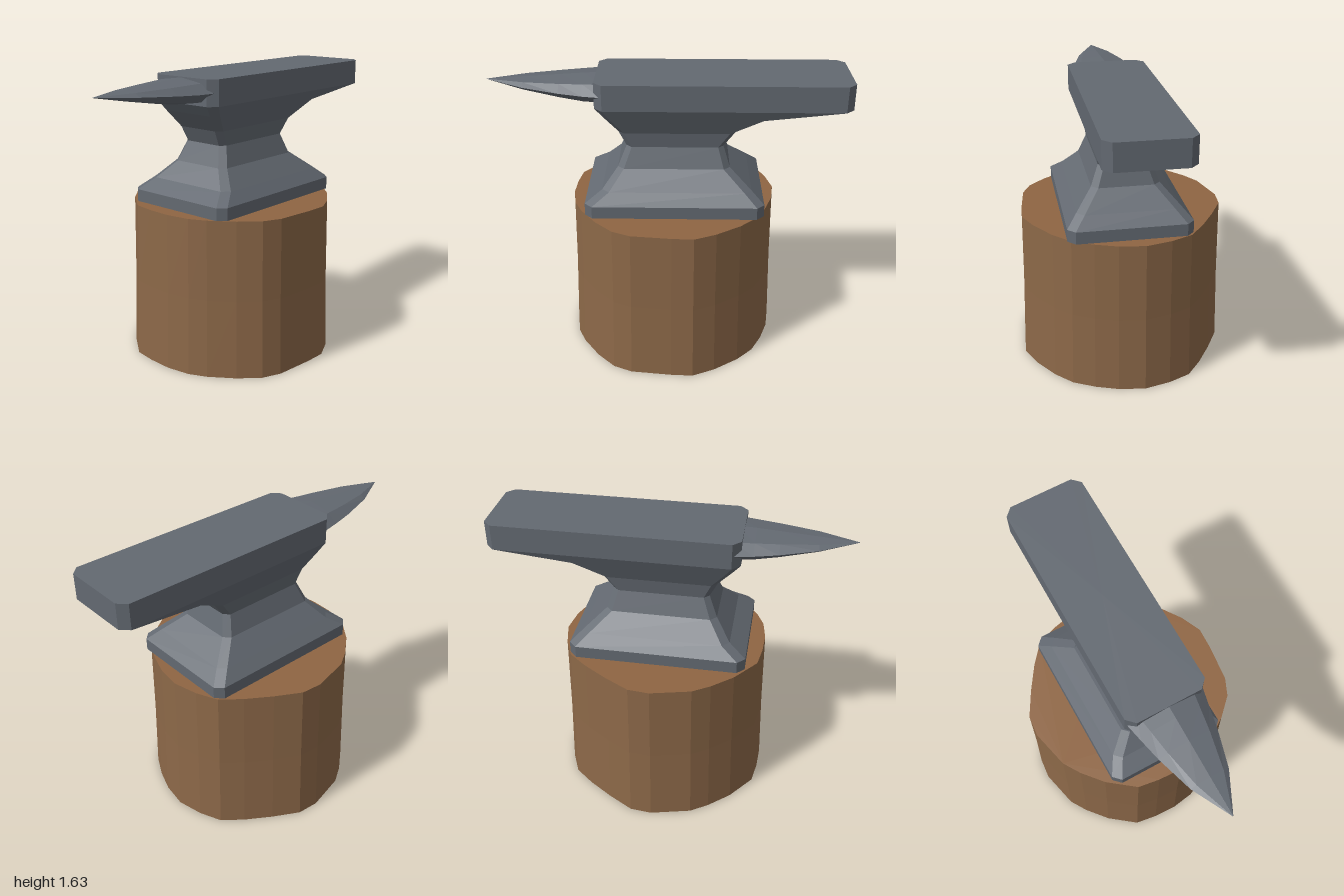
import * as THREE from 'three';

// Skin a series of closed rings (counter-clockwise seen from the last ring's end), with optional end caps.
function loft(rings, capStart = true, capEnd = true) {
  const out = [];
  const n = rings[0].length;
  const tri = (a, b, c) => out.push(...a, ...b, ...c);
  const centre = (r) => [0, 1, 2].map((k) => r.reduce((s, p) => s + p[k], 0) / n);
  for (let r = 0; r < rings.length - 1; r++) {
    const a = rings[r], b = rings[r + 1];
    for (let i = 0; i < n; i++) {
      const j = (i + 1) % n;
      tri(a[i], a[j], b[j]);
      tri(a[i], b[j], b[i]);
    }
  }
  const first = rings[0], last = rings[rings.length - 1];
  for (let i = 0; i < n; i++) {
    const j = (i + 1) % n;
    if (capStart) tri(centre(first), first[j], first[i]);
    if (capEnd) tri(centre(last), last[i], last[j]);
  }
  const g = new THREE.BufferGeometry();
  g.setAttribute('position', new THREE.Float32BufferAttribute(out, 3));
  g.computeVertexNormals();
  return g;
}

// Horizontal rectangle with cut corners
const ZC = 0.013;
function chamferedRing([y, x0, x1, h, c]) {
  return [
    [x0 + c, h], [x1 - c, h], [x1, h - c], [x1, c - h],
    [x1 - c, -h], [x0 + c, -h], [x0, c - h], [x0, h - c],
  ].map(([x, z]) => [x, y, z + ZC]);
}

export function createModel() {
  const material = (name, color) => {
    const m = new THREE.MeshStandardMaterial({ color });
    m.name = name;
    return m;
  };
  const iron = material('iron', 0x636971);
  const bark = material('bark', 0x8c6848);
  const cutWood = material('cutWood', 0x8f6542);

  const model = new THREE.Group();
  model.name = 'anvilOnStump';
  const add = (name, geometry, mat) => {
    const mesh = new THREE.Mesh(geometry, mat);
    mesh.name = name;
    model.add(mesh);
  };

  // Stump: irregular outline, tapering slightly upwards
  const outline = [
    [0.03, -0.605], [0.155, -0.593], [0.3, -0.51], [0.44, -0.417], [0.55, -0.326],
    [0.605, -0.2], [0.64, -0.05], [0.62, 0.1], [0.575, 0.23], [0.513, 0.35],
    [0.42, 0.444], [0.28, 0.54], [0.155, 0.597], [0.03, 0.592], [-0.2, 0.567],
    [-0.305, 0.52], [-0.406, 0.417], [-0.5, 0.28], [-0.545, 0.18], [-0.566, 0.04],
    [-0.56, -0.1], [-0.54, -0.23], [-0.42, -0.385], [-0.3, -0.487], [-0.2, -0.55],
  ].reverse();
  const stumpRing = (y, s) => outline.map(([x, z]) => [0.037 + (x - 0.037) * s, y, z * s]);
  add('stump', loft([stumpRing(0, 1), stumpRing(0.45, 0.977), stumpRing(0.905, 0.966)], true, false), bark);
  const top = stumpRing(0.905, 0.966);
  add('stumpTop', new THREE.ShapeGeometry(
    new THREE.Shape(top.map((p) => new THREE.Vector2(p[0], -p[2])))
  ).rotateX(-Math.PI / 2).translate(0, 0.905, 0), cutWood);

  // Anvil body: [y, left end, right end, half depth, corner cut]
  const levels = [
    [0.905, -0.455, 0.54, 0.345, 0.042],
    [0.975, -0.455, 0.54, 0.345, 0.042],
    [1.037, -0.36, 0.47, 0.287, 0.04],
    [1.136, -0.275, 0.35, 0.19, 0.035],
    [1.25, -0.227, 0.313, 0.147, 0.03],
    [1.337, -0.27, 0.377, 0.16, 0.033],
    [1.433, -0.348, 0.56, 0.202, 0.038],
    [1.49, -0.393, 1.0, 0.227, 0.045],
    [1.635, -0.393, 1.0, 0.227, 0.045],
  ];
  add('anvilBody', loft(levels.map(chamferedRing)), iron);

  // Horn: oval sections shrinking to a point, [x, bottom, top, half width]
  const hornSections = [
    [-0.35, 1.49, 1.633, 0.217],
    [-0.457, 1.493, 1.628, 0.194],
    [-0.587, 1.512, 1.619, 0.166],
    [-0.79, 1.547, 1.605, 0.107],
    [-1.0, 1.587, 1.589, 0.002],
  ];
  const hornRings = hornSections.map(([x, y0, y1, w]) =>
    Array.from({ length: 8 }, (_, i) => {
      const a = (i / 8) * Math.PI * 2;
      return [x, (y0 + y1) / 2 + ((y1 - y0) / 2) * Math.sin(a), 0.01 + w * Math.cos(a)];
    }));
  add('horn', loft(hornRings), iron);

  return model;
}
